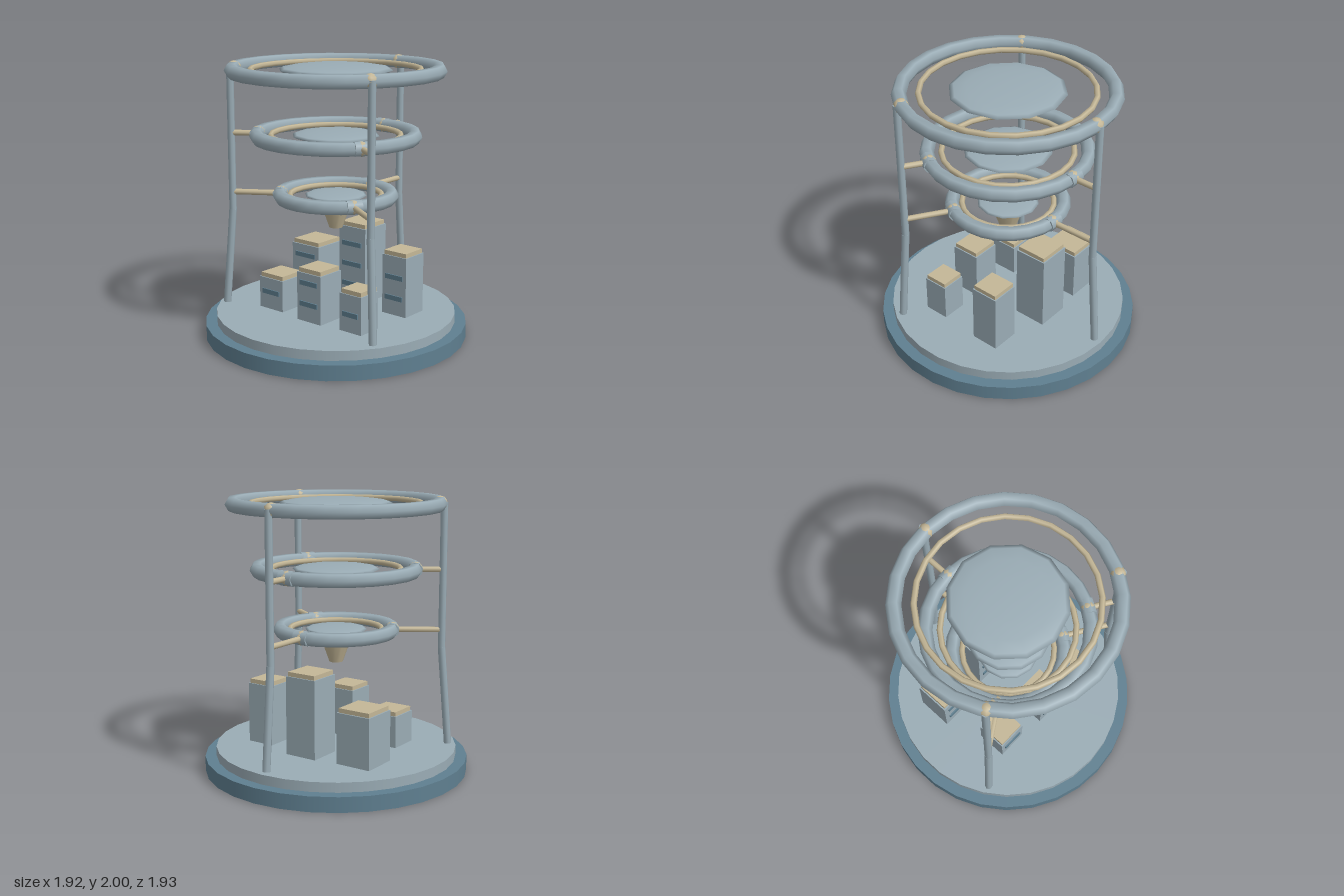
import * as THREE from 'three';

export function createModel() {
  const model = new THREE.Group();
  const paint = (name, color) => {
    const m = new THREE.MeshStandardMaterial({ color });
    m.name = name;
    return m;
  };
  const steel = paint('pale steel', 0x9aacb5);
  const sand = paint('sand', 0xc4b797);
  const slate = paint('slate blue', 0x5f7f90);

  const add = (name, geometry, material, x = 0, y = 0, z = 0, parent = model) => {
    const mesh = new THREE.Mesh(geometry, material);
    mesh.name = name;
    mesh.position.set(x, y, z);
    parent.add(mesh);
    return mesh;
  };
  // Straight rod between two points
  const rod = (name, a, b, radius, material, sides = 8) => {
    const dir = b.clone().sub(a);
    const mid = a.clone().add(b).multiplyScalar(0.5);
    const mesh = add(name, new THREE.CylinderGeometry(radius, radius, dir.length(), sides), material, mid.x, mid.y, mid.z);
    mesh.quaternion.setFromUnitVectors(new THREE.Vector3(0, 1, 0), dir.normalize());
    return mesh;
  };
  const hoop = (name, radius, tube, sides, material, y) => {
    const geometry = new THREE.TorusGeometry(radius, tube, sides, 24).rotateX(Math.PI / 2);
    return add(name, geometry, material, 0, y, 0);
  };

  // Round two-step base
  add('baseDisc', new THREE.CylinderGeometry(0.967, 0.967, 0.11, 30), slate, 0, 0.055, 0);
  add('basePlatform', new THREE.CylinderGeometry(0.885, 0.885, 0.07, 30), steel, 0, 0.145, 0);

  // Stacked rings, each with a thin inner hoop and a lens in the middle
  const tiers = [
    { y: 1.95, r: 0.738 },
    { y: 1.48, r: 0.57 },
    { y: 1.04, r: 0.407 },
  ];
  for (const { y, r } of tiers) {
    hoop('ring', r, 0.052, 6, steel, y);
    hoop('innerHoop', r * 0.823, 0.021, 6, sand, y);
    const lens = new THREE.SphereGeometry(r * 0.555, 12, 8).scale(1, 0.1, 1);
    add('lens', lens, steel, 0, y, 0);
  }

  // Three posts with splayed feet, joints and arms
  const angles = [32.3, 147.7, 270].map(THREE.MathUtils.degToRad);
  for (const a of angles) {
    const at = (r, y) => new THREE.Vector3(Math.cos(a) * r, y, Math.sin(a) * r);
    rod('post', at(0.768, 0.905), at(0.768, 1.96), 0.027, steel);
    rod('postFoot', at(0.827, 0.185), at(0.768, 0.91), 0.028, steel);
    tiers.forEach(({ y, r }, i) => {
      const p = at(r, y);
      add('joint', new THREE.SphereGeometry(0.054, 8, 6), sand, p.x, p.y, p.z);
      if (i === 0) return;
      // Sleeve around the ring and an arm out to the post
      const along = new THREE.Vector3(-Math.sin(a), 0, Math.cos(a)).multiplyScalar(0.055);
      rod('sleeve', p.clone().sub(along), p.clone().add(along), 0.053, steel);
      rod('arm', at(r - 0.03, y), at(0.768, y), 0.021, sand);
    });
  }

  // Funnel under the lowest ring
  add('funnel', new THREE.CylinderGeometry(0.123, 0.05, 0.205, 12), sand, 0, 0.9, 0);

  // Buildings: centre x, centre z, width, top of walls, window rows
  const buildings = [
    [-0.425, -0.275, 0.27, 0.55, 2],
    [-0.33, 0.235, 0.228, 0.415, 1],
    [0, -0.315, 0.25, 0.755, 3],
    [0.07, 0.27, 0.222, 0.54, 2],
    [0.44, -0.238, 0.212, 0.625, 2],
    [0.43, 0.26, 0.19, 0.455, 1],
  ];
  for (const [x, z, w, top, rows] of buildings) {
    const building = new THREE.Group();
    building.name = 'building';
    building.position.set(x, 0, z);
    model.add(building);
    const h = top - 0.18;
    add('walls', new THREE.BoxGeometry(w, h, w), steel, 0, 0.18 + h / 2, 0, building);
    add('roof', new THREE.BoxGeometry(w * 0.92, 0.032, w * 0.92), sand, 0, top + 0.016, 0, building);
    for (let i = 0; i < rows; i++) {
      add('window', new THREE.BoxGeometry(w * 0.72, 0.036, 0.009), slate, 0, 0.312 + i * 0.157, w / 2 + 0.0045, building);
    }
  }
  return model;
}
